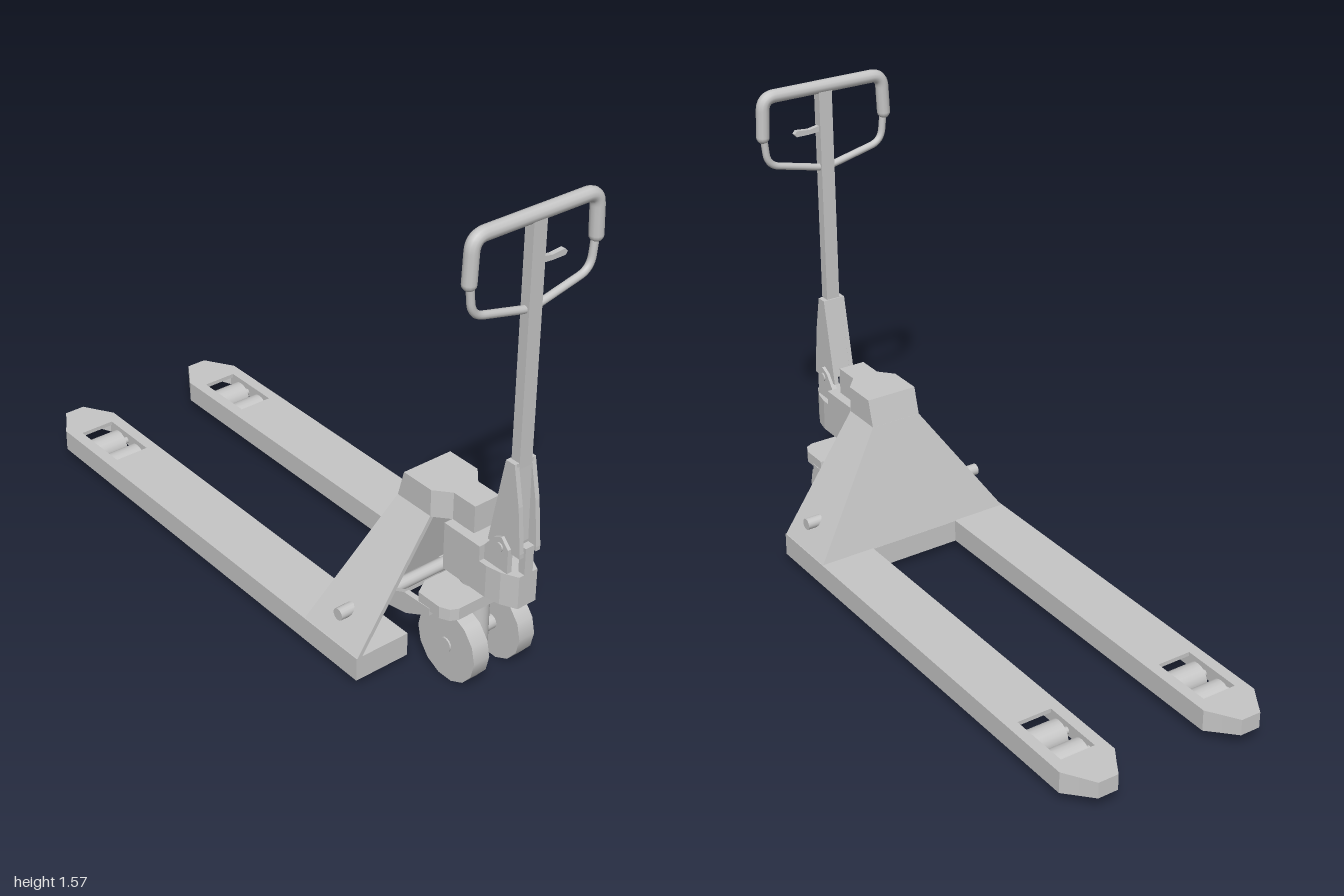
import * as THREE from 'three';
import { ConvexGeometry } from 'three/addons/geometries/ConvexGeometry.js';

const steel = new THREE.MeshStandardMaterial({ color: 0xc6c6c6 });
steel.name = 'lightGreySteel';

export function createModel() {
  const model = new THREE.Group();
  model.name = 'palletTruck';

  const add = (name, geometry) => {
    const mesh = new THREE.Mesh(geometry, steel);
    mesh.name = name;
    model.add(mesh);
    return mesh;
  };
  const box = (name, x0, x1, y0, y1, z0, z1) =>
    add(name, new THREE.BoxGeometry(x1 - x0, y1 - y0, z1 - z0)
      .translate((x0 + x1) / 2, (y0 + y1) / 2, (z0 + z1) / 2));
  const toShape = pts => new THREE.Shape(pts.map(p => new THREE.Vector2(p[0], p[1])));
  const extrude = (shape, depth) => new THREE.ExtrudeGeometry(shape, { depth, bevelEnabled: false });
  // Outline given as [x, -z], raised from y0 to y1
  const plan = (shape, y0, y1) => extrude(shape, y1 - y0).rotateX(-Math.PI / 2).translate(0, y0, 0);
  // Outline given as [z, y], extruded across x from x0 to x1
  const profile = (pts, x0, x1) => extrude(toShape(pts), x1 - x0).rotateY(-Math.PI / 2).translate(x1, 0, 0);
  const upright = (name, r, y0, y1, z, sides = 24) =>
    add(name, new THREE.CylinderGeometry(r, r, y1 - y0, sides).translate(0, (y0 + y1) / 2, z));
  const crossways = (name, r, x0, x1, y, z, sides = 20) =>
    add(name, new THREE.CylinderGeometry(r, r, x1 - x0, sides)
      .rotateZ(Math.PI / 2).translate((x0 + x1) / 2, y, z));
  const hull = (name, pts) => add(name, new ConvexGeometry(pts.map(p => new THREE.Vector3(...p))));

  // Forks: channels open underneath, with a window for the load rollers
  const forkX = 0.262;
  const forkOutline = t => {
    const w = 0.098 - t, tip = 1 - t;
    return [[-w, -0.68 + t], [w, -0.68 + t], [w, 0.9], [0.066 - t * 0.5, tip - 0.05], [0.035, tip],
      [-0.035, tip], [-0.066 + t * 0.5, tip - 0.05], [-w, 0.9]];
  };
  const hole = pts => new THREE.Path(pts.map(p => new THREE.Vector2(p[0], p[1])));
  for (const s of [1, -1]) {
    const top = toShape(forkOutline(0));
    top.holes.push(hole([[-0.06, 0.64], [-0.06, 0.855], [0.06, 0.855], [0.06, 0.64]]));
    add('forkTop', plan(top, 0.096, 0.11).translate(s * forkX, 0, 0));

    const rim = toShape(forkOutline(0));
    rim.holes.push(hole(forkOutline(0.015)));
    const skirt = plan(rim, 0.03, 0.097);
    // Lift the underside towards the tip
    const p = skirt.attributes.position;
    for (let i = 0; i < p.count; i++) {
      const lift = Math.max(0, -p.getZ(i) - 0.86) * 0.18;
      if (p.getY(i) < 0.05) p.setY(i, 0.03 + lift);
    }
    skirt.computeVertexNormals();
    add('forkSkirt', skirt.translate(s * forkX, 0, 0));

    // Load rollers with their axles
    for (const z of [-0.69, -0.8]) {
      crossways('loadRoller', 0.046, s * forkX - 0.055, s * forkX + 0.055, 0.053, z);
      crossways('rollerAxle', 0.012, s * forkX - 0.09, s * forkX + 0.09, 0.053, z, 10);
    }
  }

  // Frame: sloping rear panel, two sloping side panels, lower cross plate
  const rear = [], t = 0.018;
  for (const s of [1, -1]) {
    rear.push([s * 0.358, 0.105, 0.43], [s * 0.09, 0.5, 0.535],
      [s * 0.345, 0.105, 0.446], [s * 0.077, 0.5, 0.551]);
    const side = [];
    for (const d of [0, t]) {
      side.push([s * (0.36 - d), 0.105, 0.43], [s * (0.36 - d), 0.105, 0.68],
        [s * (0.09 - d), 0.5, 0.68], [s * (0.09 - d), 0.5, 0.535]);
    }
    hull('frameSide', side);
  }
  hull('frameRear', rear);
  box('crossPlate', -0.17, 0.17, 0.03, 0.108, 0.43, 0.446);

  // Head: wide over the frame, narrowing to the front
  const head = plan(toShape([[-0.09, -0.535], [0.09, -0.535], [0.09, -0.68], [0.047, -0.73],
    [0.047, -0.82], [-0.047, -0.82], [-0.047, -0.73], [-0.09, -0.68]]), 0.498, 0.59);
  const hp = head.attributes.position;
  for (let i = 0; i < hp.count; i++) {
    if (hp.getY(i) > 0.55 && hp.getZ(i) < 0.54) hp.setZ(i, 0.56);
  }
  head.computeVertexNormals();
  add('head', head);

  // Lift linkage shaft through the frame, and link arms
  crossways('linkShaft', 0.02, -0.34, 0.34, 0.195, 0.567, 16);
  for (const x of [-0.173, 0.173]) {
    add('linkArm', profile([[0.79, 0.275], [0.79, 0.25], [0.69, 0.2], [0.56, 0.175],
      [0.56, 0.215], [0.68, 0.27]], x - 0.009, x + 0.009));
  }

  // Pump body and ram
  add('pumpBody', plan(toShape([[-0.07, -0.72], [0.07, -0.72], [0.07, -0.9], [0.06, -0.95], [0.035, -1],
    [-0.035, -1], [-0.06, -0.95], [-0.07, -0.9]]), 0.33, 0.44));
  box('pumpTop', -0.07, 0.07, 0.44, 0.49, 0.72, 0.87);
  for (const x of [-0.042, 0.042]) {
    add('pumpEar', profile([[0.84, 0.43], [0.84, 0.49], [0.87, 0.49], [0.905, 0.535], [0.935, 0.55],
      [0.965, 0.52], [0.965, 0.43]], x - 0.009, x + 0.009));
  }
  upright('pumpRam', 0.04, 0.48, 0.51, 0.77);
  upright('pumpCollar', 0.052, 0.3, 0.335, 0.79);
  upright('steeringPost', 0.037, 0.08, 0.31, 0.8);
  crossways('handlePivot', 0.015, -0.056, 0.056, 0.515, 0.93, 14);
  box('releaseRod', -0.016, 0.016, 0.43, 0.53, 0.975, 1);

  // Steering plate with rounded corners
  add('steeringPlate', plan(toShape([[-0.13, -0.71], [0.13, -0.71], [0.18, -0.74], [0.18, -0.83],
    [0.165, -0.86], [0.14, -0.872], [-0.14, -0.872], [-0.165, -0.86], [-0.18, -0.83], [-0.18, -0.74]]),
    0.265, 0.305));

  // Steering wheels and axle
  for (const s of [1, -1]) {
    crossways('steeringWheel', 0.123, s * 0.09 - 0.03, s * 0.09 + 0.03, 0.123, 0.8, 14);
  }
  crossways('wheelAxle', 0.024, -0.125, 0.125, 0.123, 0.8, 14);

  // Handle socket: solid core with two cheek plates
  const cheek = [[0.87, 0.505], [0.925, 0.8], [0.96, 0.8], [0.985, 0.67], [1, 0.52], [1, 0.505]];
  for (const x of [-0.032, 0.032]) add('socketCheek', profile(cheek, x - 0.008, x + 0.008));
  add('socketCore', profile([[0.875, 0.53], [0.925, 0.8], [0.962, 0.8], [0.967, 0.53]], -0.03, 0.03));

  // Handle stem
  box('handleStem', -0.024, 0.024, 0.78, 1.545, 0.93, 0.963);

  // Handle loop: thick grip above, thin bow below
  const hz = 0.946;
  const tube = (name, pts, r) => {
    const path = new THREE.CurvePath();
    const v = pts.map(q => new THREE.Vector3(q[0], q[1], hz));
    // Straight runs joined by rounded corners
    let from = v[0];
    for (let i = 1; i < v.length - 1; i++) {
      const a = v[i].clone().add(v[i - 1].clone().sub(v[i]).setLength(0.042));
      const b = v[i].clone().add(v[i + 1].clone().sub(v[i]).setLength(0.042));
      path.add(new THREE.LineCurve3(from, a));
      path.add(new THREE.QuadraticBezierCurve3(a, v[i], b));
      from = b;
    }
    path.add(new THREE.LineCurve3(from, v[v.length - 1]));
    add(name, new THREE.TubeGeometry(path, 90, r, 12, false));
    for (const end of [v[0], v[v.length - 1]]) {
      add(name + 'End', new THREE.SphereGeometry(r, 12, 8).translate(end.x, end.y, end.z));
    }
  };
  tube('handleGrip', [[-0.228, 1.42], [-0.222, 1.55], [0.222, 1.55], [0.228, 1.42]], 0.022);
  tube('handleBow', [[-0.226, 1.42], [-0.215, 1.32], [0, 1.27], [0.215, 1.32], [0.226, 1.42]], 0.012);

  // Release lever
  add('releaseLever', extrude(toShape([[0.015, 1.402], [0.06, 1.398], [0.108, 1.398], [0.116, 1.408],
    [0.106, 1.418], [0.06, 1.414], [0.015, 1.422]]), 0.016).translate(0, 0, hz - 0.008));

  return model;
}
